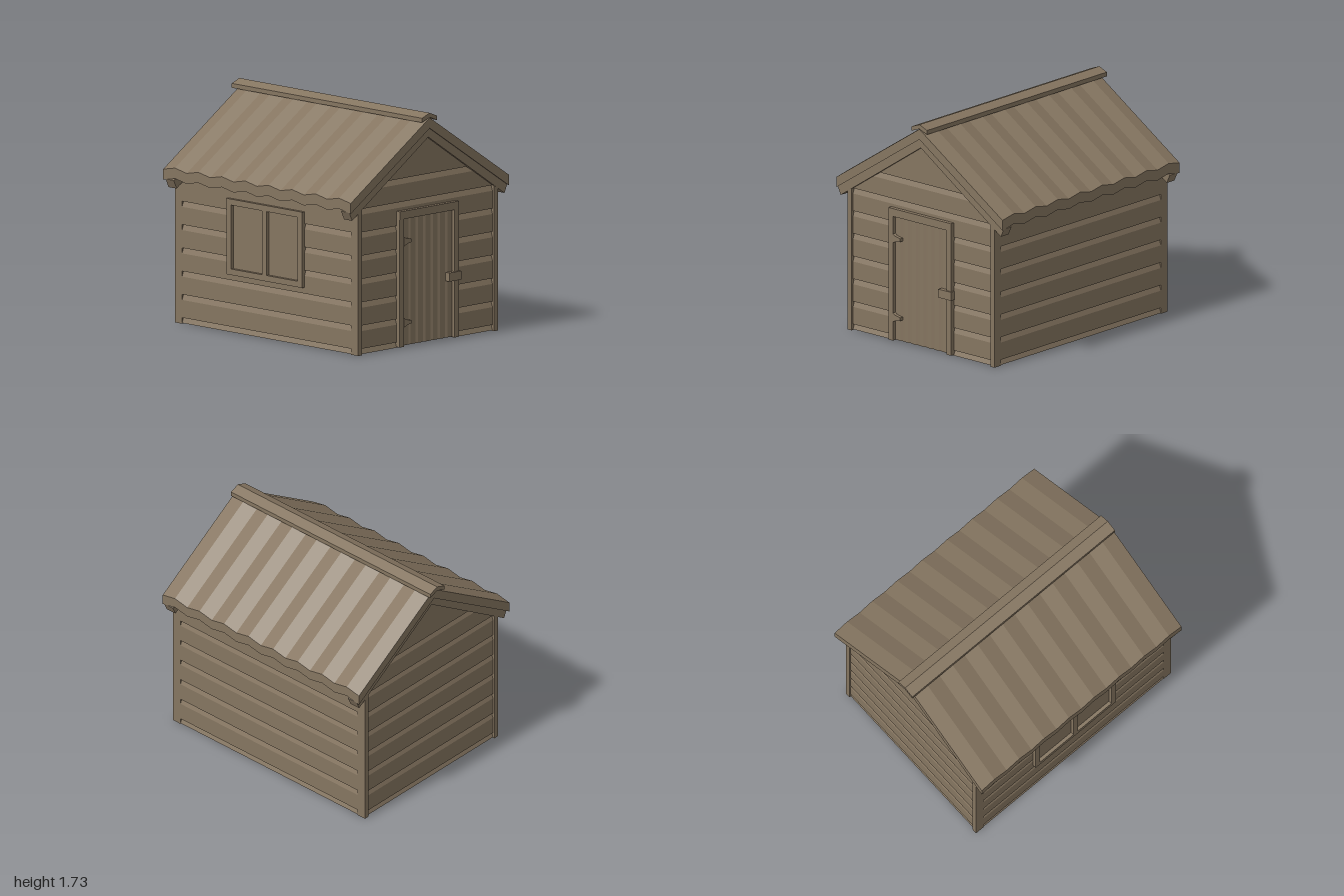
import * as THREE from 'three';

const SLOPE = 0.65;
const mat = new THREE.MeshStandardMaterial({ color: 0x857560, flatShading: true, side: THREE.DoubleSide });

function add(parent, name, geo) {
  const mesh = new THREE.Mesh(geo, mat);
  mesh.name = name;
  parent.add(mesh);
  return mesh;
}

// Box given by its limits on each axis
function block(parent, name, x0, x1, y0, y1, z0, z1) {
  const geo = new THREE.BoxGeometry(x1 - x0, y1 - y0, z1 - z0);
  geo.translate((x0 + x1) / 2, (y0 + y1) / 2, (z0 + z1) / 2);
  return add(parent, name, geo);
}

function extrude(points, depth) {
  const shape = new THREE.Shape(points.map(([x, y]) => new THREE.Vector2(x, y)));
  return new THREE.ExtrudeGeometry(shape, { depth, bevelEnabled: false });
}

// Lap-sided wall facing local +x, running along local z, with an optional rectangular hole
function sidedWall(name, { face, z0, z1, joints, hole, gable }) {
  const wall = new THREE.Group();
  wall.name = name;
  const bevel = 0.042;
  for (let i = 0; i < joints.length - 1; i++) {
    const b0 = joints[i], b1 = joints[i + 1];
    const last = i === joints.length - 2;
    const start = Math.max(b0, b1 - bevel);
    const depthAt = y => (last || y <= start ? face : face - 0.016 * (y - start) / (b1 - start));
    const cuts = [b0, b1];
    if (hole) cuts.push(...[hole.y0, hole.y1].filter(y => y > b0 && y < b1));
    cuts.sort((a, b) => a - b);
    for (let k = 0; k < cuts.length - 1; k++) {
      const s0 = cuts[k], s1 = cuts[k + 1], mid = (s0 + s1) / 2;
      const ys = start > s0 && start < s1 ? [s0, start, s1] : [s0, s1];
      const profile = [[face - 0.035, s0], ...ys.map(y => [depthAt(y), y]), [face - 0.035, s1]];
      const open = hole && mid > hole.y0 && mid < hole.y1;
      const spans = open ? [[z0, hole.z0], [hole.z1, z1]] : [[z0, z1]];
      for (const [a, b] of spans) {
        const geo = extrude(profile, b - a).translate(0, 0, a);
        if (gable) { // trim the board ends to the roof line
          const p = geo.attributes.position;
          for (let j = 0; j < p.count; j++) {
            const limit = Math.max(0, (1.61 - p.getY(j)) / SLOPE);
            p.setZ(j, THREE.MathUtils.clamp(p.getZ(j), -limit, limit));
          }
          geo.computeVertexNormals();
        }
        add(wall, 'sidingBoard', geo);
      }
    }
  }
  return wall;
}

function buildWalls(shed) {
  const low = [0.005, 0.045, 0.22, 0.395, 0.57, 0.745, 0.92];
  const sideJoints = [...low, 1.14];
  const gableJoints = [...low, 1.095, 1.27, 1.6];
  const side = { face: 0.728, z0: -0.88, z1: 0.91, joints: sideJoints };
  shed.add(sidedWall('leftWall', side));

  const right = sidedWall('rightWall', {
    ...side, z0: -0.91, z1: 0.88, hole: { y0: 0.48, y1: 0.97, z0: -0.38, z1: 0.35 } });
  right.rotation.y = Math.PI;
  shed.add(right);

  const end = { z0: -0.7, z1: 0.7, joints: gableJoints, gable: true };
  const front = sidedWall('frontWall', {
    ...end, face: 0.955, hole: { y0: 0, y1: 1.0, z0: -0.28, z1: 0.28 } });
  front.rotation.y = -Math.PI / 2;
  const back = sidedWall('backWall', { ...end, face: 0.93 });
  back.rotation.y = Math.PI / 2;
  shed.add(front, back);

  // Corner posts
  for (const s of [-1, 1]) {
    const x0 = s > 0 ? 0.69 : -0.73;
    block(shed, 'cornerPost', x0, x0 + 0.04, 0, 1.12, 0.9, 0.973);
    block(shed, 'cornerPost', x0, x0 + 0.04, 0, 1.12, -0.943, -0.87);
  }
}

function buildRoof(shed) {
  // Corrugated sheet: zigzag section swept out from the ridge and sheared down the slope
  const top = [], bottom = [];
  for (let i = 0; i <= 16; i++) {
    const u = -0.98 + i * 0.1225;
    const v = i % 2 ? 0.024 : 0;
    top.unshift([u, 1.697 + v]);
    bottom.push([u, 1.618 + v]);
  }
  for (const s of [1, -1]) {
    const geo = extrude([...bottom, ...top], 0.825);
    geo.rotateY(s * Math.PI / 2).translate(0, 0, 0.01);
    const p = geo.attributes.position;
    for (let i = 0; i < p.count; i++) p.setY(i, p.getY(i) - SLOPE * Math.abs(p.getX(i)));
    geo.computeVertexNormals();
    add(shed, 'corrugatedRoof', geo);
  }

  // Ridge cap
  const cap = [[-0.08, 1.67], [0, 1.7], [0.075, 1.67], [0.075, 1.703], [0, 1.733], [-0.08, 1.703]];
  add(shed, 'ridgeCap', extrude(cap, 1.99).translate(0, 0, -1));

  // Rafters at both gables
  const chevron = [[0, 1.55], [0.795, 1.025], [0.825, 1.09], [0, 1.632], [-0.825, 1.09], [-0.795, 1.025]];
  for (const z of [0.89, -0.945]) add(shed, 'gableRafter', extrude(chevron, 0.085).translate(0, 0, z));
}

function buildDoor(shed) {
  const door = new THREE.Group();
  door.name = 'door';
  shed.add(door);

  // Plank panel with shallow V grooves
  const planks = 7, x0 = -0.268, w = 0.536 / planks;
  const outline = [[x0, -0.935]];
  outline.push([x0 + 0.536, -0.935]);
  for (let i = planks - 1; i >= 0; i--) {
    const a = x0 + i * w;
    outline.push([a + w, -0.958], [a + w * 0.75, -0.964], [a + w * 0.25, -0.964]);
  }
  outline.push([x0, -0.958]);
  add(door, 'doorPanel', extrude(outline, 0.96).rotateX(-Math.PI / 2).translate(0, 0.015, 0));

  // Frame
  block(door, 'doorJamb', -0.31, -0.266, 0.01, 0.97, 0.92, 0.985);
  block(door, 'doorJamb', 0.266, 0.31, 0.01, 0.97, 0.92, 0.985);
  block(door, 'doorLintel', -0.31, 0.31, 0.97, 1.03, 0.92, 0.988);

  // Strap hinges and latch
  const strap = [[-0.267, -0.035], [-0.235, -0.02], [-0.19, -0.012], [-0.19, 0.012], [-0.235, 0.02], [-0.267, 0.035]];
  for (const y of [0.19, 0.8]) add(door, 'strapHinge', extrude(strap, 0.03).translate(0, y, 0.96));
  block(door, 'latch', 0.196, 0.322, 0.44, 0.505, 0.96, 1.0);
}

function buildWindow(shed) {
  const win = new THREE.Group();
  win.name = 'window';
  shed.add(win);
  const x0 = -0.754, x1 = -0.69, w = 0.045;
  const zA = -0.38, zB = 0.41, yA = 0.44, yB = 1.01, mid = (zA + zB) / 2;
  for (const y of [yA, yB - w]) block(win, 'windowRail', x0, x1, y, y + w, zA, zB);
  for (const z of [zA, mid - w / 2, zB - w]) block(win, 'windowStile', x0, x1, yA + w, yB - w, z, z + w);
  for (const [a, b] of [[zA + w, mid - w / 2], [mid + w / 2, zB - w]]) {
    block(win, 'windowPane', -0.728, -0.715, yA + w, yB - w, a, b);
  }
}

export function createModel() {
  const shed = new THREE.Group();
  shed.name = 'gardenShed';
  buildWalls(shed);
  buildRoof(shed);
  buildDoor(shed);
  buildWindow(shed);
  return shed;
}
